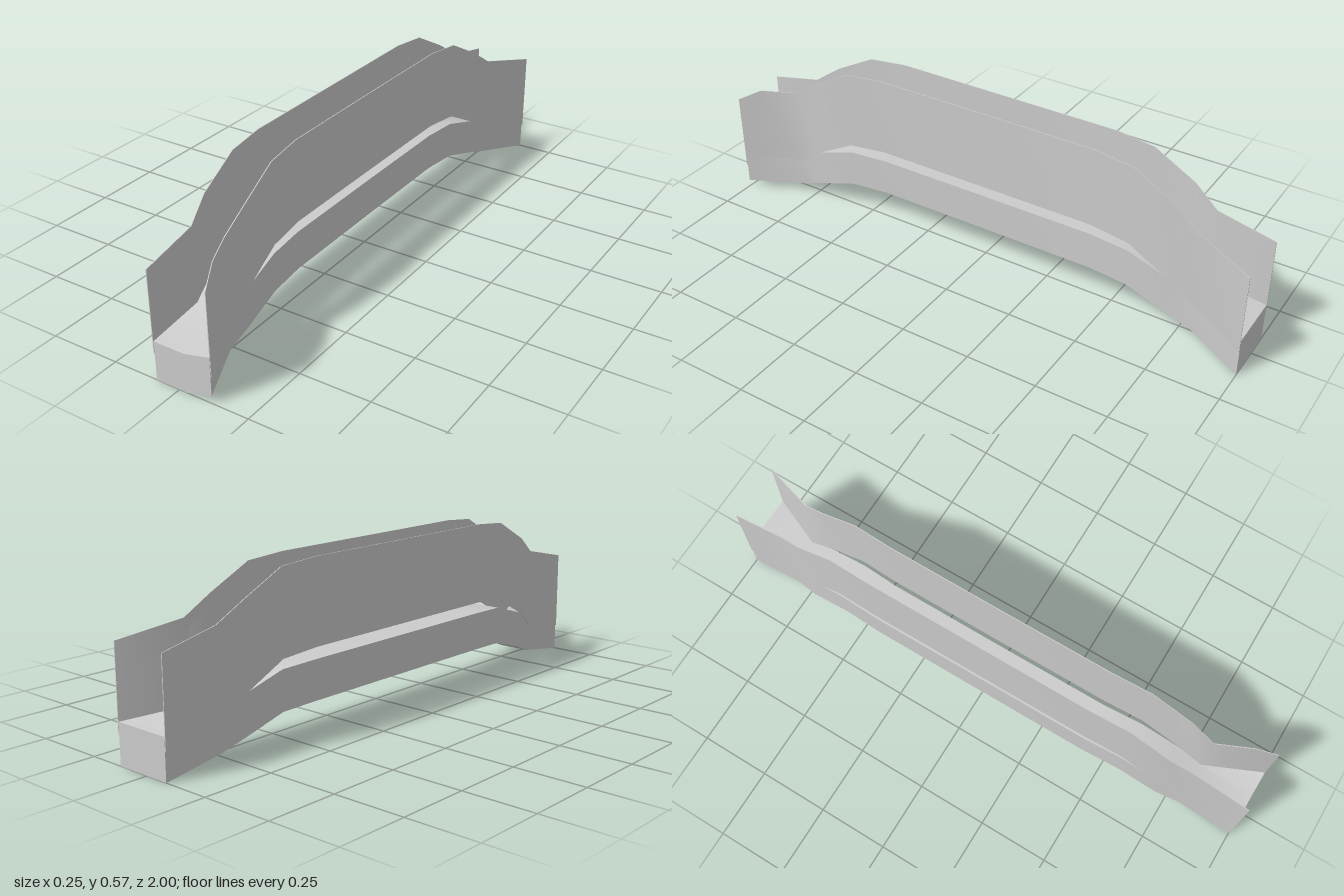
import * as THREE from 'three';
import { toCreasedNormals } from 'three/addons/utils/BufferGeometryUtils.js';

const material = new THREE.MeshStandardMaterial({ color: 0xcccccc, side: THREE.DoubleSide });

// Skin a solid through closed rings (counter-clockwise seen from +z, ascending z).
function loft(name, rings) {
  const n = rings[0].length;
  const index = [];
  for (let i = 0; i < rings.length - 1; i++) {
    for (let j = 0; j < n; j++) {
      const a = i * n + j, b = i * n + (j + 1) % n;
      index.push(a, b, b + n, a, b + n, a + n);
    }
  }
  const last = (rings.length - 1) * n;
  for (let k = 1; k < n - 1; k++) {
    const p = (1 + k) % n, q = (2 + k) % n;
    index.push(1, q, p, last + 1, last + p, last + q);
  }
  const geometry = new THREE.BufferGeometry();
  geometry.setAttribute('position', new THREE.Float32BufferAttribute(rings.flat(2), 3));
  geometry.setIndex(index);
  const mesh = new THREE.Mesh(toCreasedNormals(geometry, 0.5), material);
  mesh.name = name;
  return mesh;
}

// Half-span stations: distance from the middle, deck bottom and top,
// rail top, outer face of the left-hand (-x) side, outer face of the +x side
const half = [
  { z: 0.42, bottom: 0.115, top: 0.25, rail: 0.575, xa: -0.125, xb: 0.021 },
  { z: 0.56, bottom: 0.11, top: 0.245, rail: 0.563, xa: -0.117, xb: 0.031 },
  { z: 0.71, bottom: 0.065, top: 0.2, rail: 0.485, xa: -0.11, xb: 0.039 },
  { z: 0.8, bottom: 0.03, top: 0.16, rail: 0.423, xa: -0.09, xb: 0.035 },
  { z: 1, bottom: 0.002, top: 0.137, rail: 0.38, xa: -0.09, xb: 0.125 },
];
const mirrored = half.map((s) => ({ ...s, z: -s.z })).reverse();
const middle = { ...half[0], z: 0, xb: 0.02 };
const stations = [...mirrored, middle, ...half];

const railHeight = 0.285;
const railThickness = 0.003;

// Thin upright plate section; lean shifts its upper edge sideways
function plate(z, x, top, lean = 0) {
  const bottom = top - railHeight, inner = x - railThickness;
  return [[inner, bottom, z], [x, bottom, z], [x + lean, top, z], [inner + lean, top, z]];
}

export function createModel() {
  const group = new THREE.Group();
  group.name = 'footbridge';

  // Arched deck, with one raised corner where the front end flares out
  const deck = stations.map(({ z, bottom, top, xa, xb }) => {
    const left = xa + 0.004, right = xb - 0.004;
    const mid = Math.min(right - 0.005, 0.03);
    const frontEnd = z === 1;
    const rightBottom = frontEnd ? 0.025 : bottom;
    const rightTop = frontEnd ? 0.16 : top;
    return [
      [left, bottom, z], [mid, bottom, z], [right, rightBottom, z],
      [right, rightTop, z], [mid, top, z], [left, top, z],
    ];
  });
  // Lowest edge rests on the ground
  deck[0].concat(deck[deck.length - 1]).forEach((p) => { if (p[1] === 0.002) p[1] = 0; });
  group.add(loft('deck', deck));

  // Straight-ended parapet on the -x side
  group.add(loft('rightParapet', stations.map((s) => plate(s.z, s.xa + railThickness, s.rail))));

  // Flared parapet on the +x side: leaning at the back bend, level top on the front flare
  const flared = stations.map((s) => plate(s.z, s.xb, s.rail, s.z === -0.8 ? 0.02 : 0));
  flared.splice(flared.length - 1, 0, plate(0.92, 0.089, 0.423));
  group.add(loft('leftParapet', flared));

  return group;
}
